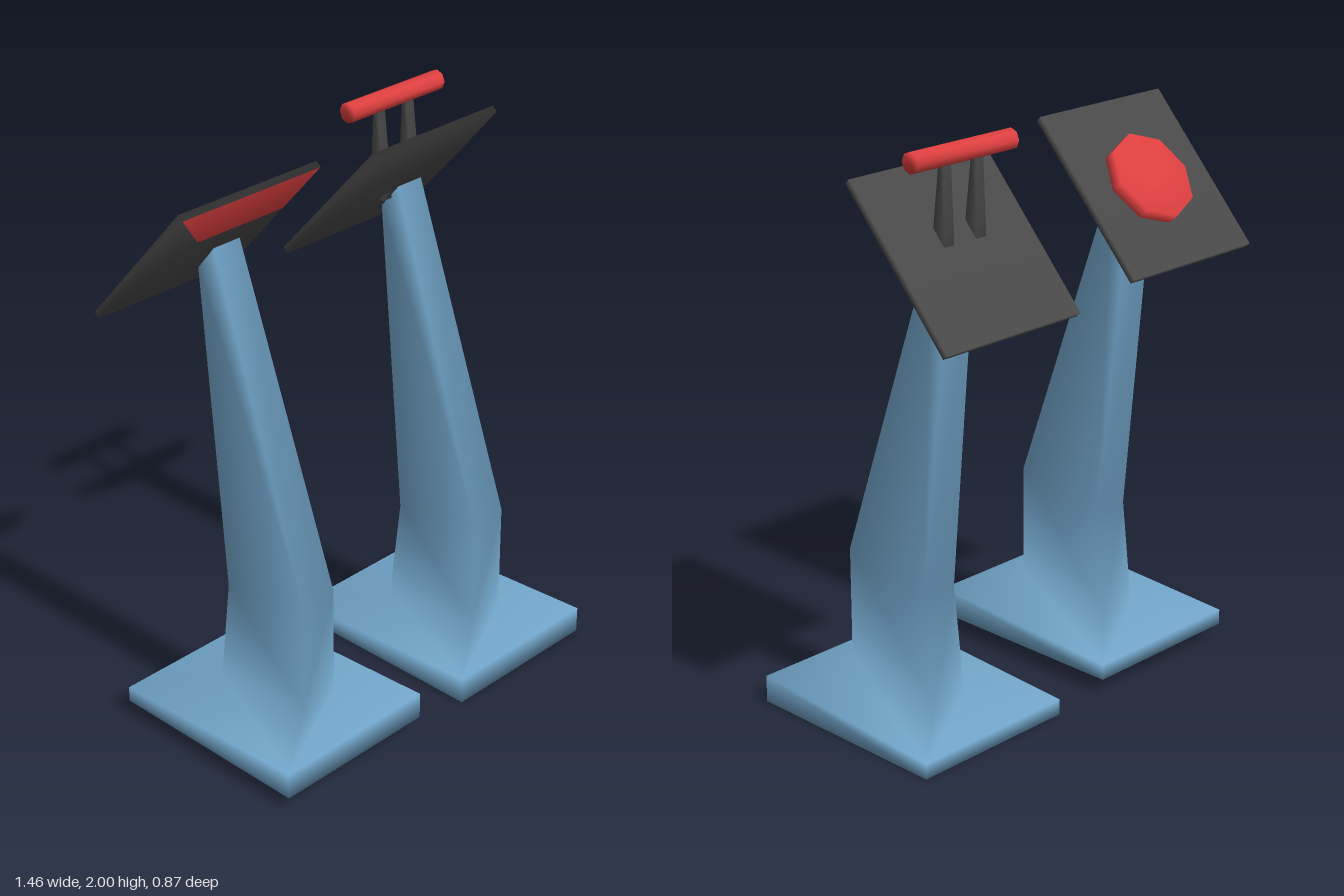
import * as THREE from 'three';
import { mergeVertices } from 'three/addons/utils/BufferGeometryUtils.js';

// Closed loft through four-cornered rings, bottom to top, with shared smooth normals.
// Each ring: [half width, front z, front y, back z, back y]
function loft(rings) {
  const pos = [], idx = [];
  for (const [w, fz, fy, bz, by] of rings) {
    pos.push(w, fy, fz, w, by, bz, -w, by, bz, -w, fy, fz);
  }
  for (let r = 0; r < rings.length - 1; r++) {
    for (let i = 0; i < 4; i++) {
      const j = (i + 1) % 4;
      const a = r * 4 + i, b = r * 4 + j, c = b + 4, d = a + 4;
      if (i % 2) idx.push(a, b, c, a, c, d);
      else idx.push(a, b, d, b, c, d);
    }
  }
  const t = (rings.length - 1) * 4;
  idx.push(0, 2, 1, 0, 3, 2, t, t + 1, t + 2, t, t + 2, t + 3);
  const g = new THREE.BufferGeometry();
  g.setAttribute('position', new THREE.Float32BufferAttribute(pos, 3));
  g.setIndex(idx);
  g.computeVertexNormals();
  return g;
}

// Cylinder whose caps share smooth normals with its side
function softCylinder(radius, length, sides) {
  let g = new THREE.CylinderGeometry(radius, radius, length, sides);
  g.deleteAttribute('normal');
  g.deleteAttribute('uv');
  g = mergeVertices(g);
  g.computeVertexNormals();
  return g;
}

export function createModel() {
  const mat = (name, color) => {
    const m = new THREE.MeshStandardMaterial({ color });
    m.name = name;
    return m;
  };
  const blue = mat('blue', 0x74a8cd);
  const dark = mat('dark grey', 0x484848);
  const red = mat('red', 0xdd3f3f);

  const add = (parent, name, geometry, material, x = 0, y = 0, z = 0) => {
    const mesh = new THREE.Mesh(geometry, material);
    mesh.name = name;
    mesh.position.set(x, y, z);
    parent.add(mesh);
    return mesh;
  };

  // Foot plate rising into a leaning, tapered post
  const standGeometry = loft([
    [0.31, 0.435, 0, -0.34, 0],
    [0.31, 0.435, 0.095, -0.34, 0.055],
    [0.07, 0.265, 0.145, -0.13, 0.09],
    [0.07, 0.265, 0.54, -0.085, 0.47],
    [0.055, -0.125, 1.68, -0.2, 1.59],
  ]);

  // Thin board with a shallow tapered underside
  const panelRings = [
    [0.18, 0.18, -0.05, -0.18, -0.05],
    [0.29, 0.31, -0.012, -0.31, -0.012],
    [0.29, 0.31, 0.012, -0.31, 0.012],
  ];

  const pedestal = (name, x, y, redUnderside) => {
    const group = new THREE.Group();
    group.name = name;
    group.position.set(x, y, 0);
    add(group, 'stand', standGeometry, blue);

    const head = new THREE.Group();
    head.name = 'tiltedHead';
    head.position.set(0, 1.66, -0.217);
    head.rotation.x = THREE.MathUtils.degToRad(-48);
    group.add(head);

    const g = loft(panelRings);
    if (redUnderside) {
      // The upper sloped face of the underside is painted
      g.addGroup(0, 18, 0);
      g.addGroup(18, 6, 1);
      g.addGroup(24, g.index.count - 24, 0);
    }
    add(head, 'panel', g, redUnderside ? [dark, red] : dark);
    return { group, head };
  };

  const model = new THREE.Group();
  model.name = 'controlPedestals';

  // Raised pedestal with an octagonal push button
  const buttonStand = pedestal('buttonPedestal', -0.42, 0.05, true);
  add(buttonStand.head, 'button', softCylinder(0.16, 0.05, 8), red, 0.008, 0.032, 0);
  model.add(buttonStand.group);

  // Lower pedestal with a bar handle on two tapered arms
  const leverStand = pedestal('leverPedestal', 0.415, 0, false);
  const bar = add(leverStand.group, 'handleBar', softCylinder(0.035, 0.43, 8), red, -0.005, 1.965, -0.2);
  bar.rotation.z = Math.PI / 2;
  const armGeometry = loft([
    [0.021, -0.155, 1.63, -0.215, 1.63],
    [0.021, -0.165, 1.72, -0.213, 1.72],
    [0.016, -0.188, 1.95, -0.208, 1.95],
  ]);
  for (const side of [-1, 1]) {
    add(leverStand.group, 'handleArm', armGeometry, dark, -0.005 + side * 0.069);
  }
  model.add(leverStand.group);

  return model;
}
